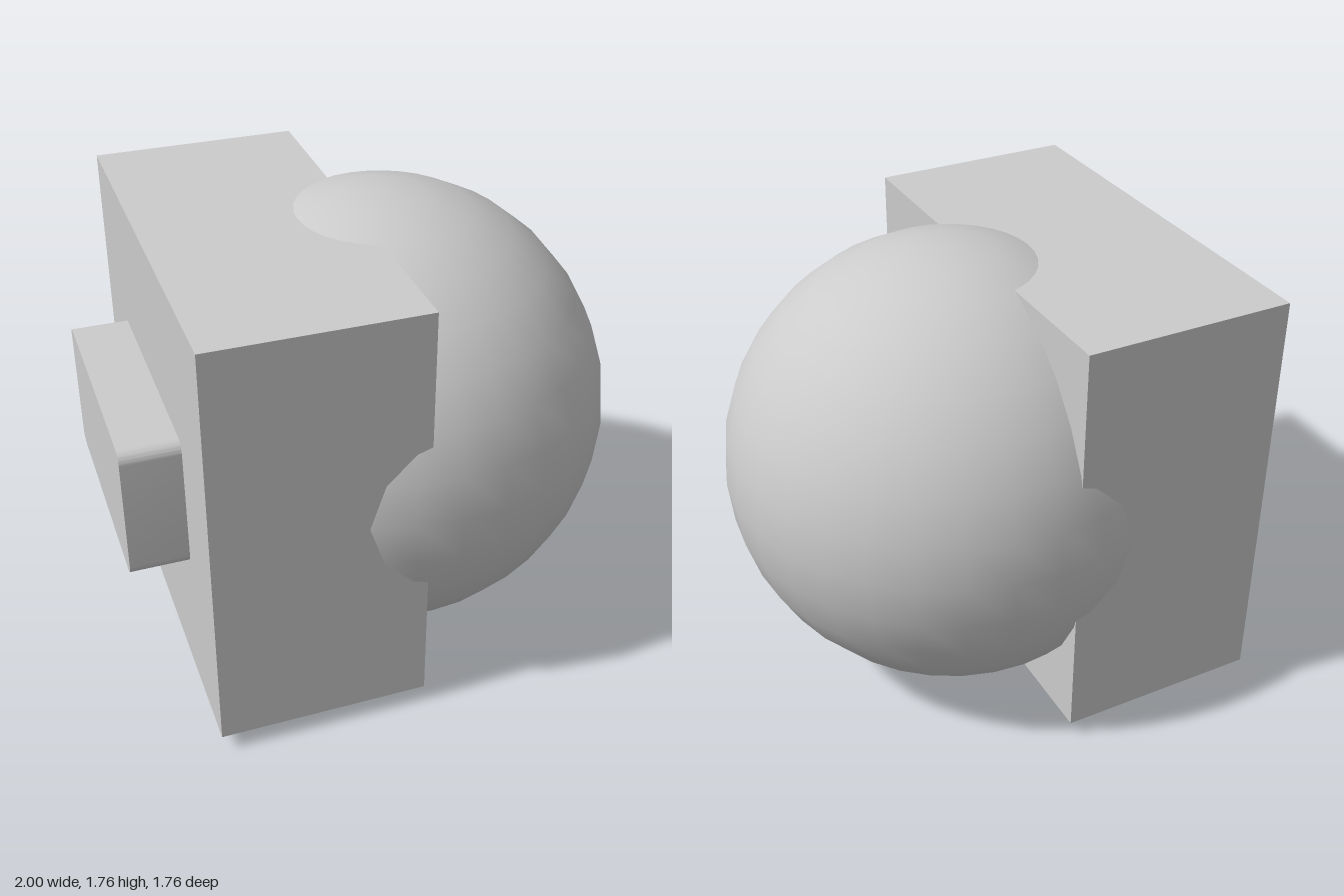
import * as THREE from 'three';
import { toCreasedNormals } from 'three/addons/utils/BufferGeometryUtils.js';

const material = new THREE.MeshStandardMaterial({ color: 0xcccccc });

function addPart(group, name, geometry, x, y, z) {
  const mesh = new THREE.Mesh(geometry, material);
  mesh.name = name;
  mesh.position.set(x, y, z);
  group.add(mesh);
  return mesh;
}

// Rectangle with rounded corners, centred on the origin
function roundedRectangle(width, height, r) {
  const x = width / 2 - r, y = height / 2 - r;
  const shape = new THREE.Shape();
  shape.absarc(x, y, r, 0, Math.PI / 2);
  shape.absarc(-x, y, r, Math.PI / 2, Math.PI);
  shape.absarc(-x, -y, r, Math.PI, Math.PI * 1.5);
  shape.absarc(x, -y, r, Math.PI * 1.5, Math.PI * 2);
  shape.closePath();
  return shape;
}

export function createModel() {
  const model = new THREE.Group();
  model.name = 'ballAndBlock';

  // Large ball, sunk into the block
  addPart(model, 'ball', new THREE.SphereGeometry(0.88, 32, 16), 0.12, 0.883, 0);

  // Square block
  addPart(model, 'block', new THREE.BoxGeometry(0.795, 1.63, 1.63), -0.3825, 0.885, 0);

  // Rounded tab on the block's outer side, extruded along x
  const tab = new THREE.ExtrudeGeometry(roundedRectangle(0.95, 0.53, 0.045), {
    depth: 0.24, bevelEnabled: false, curveSegments: 6,
  });
  tab.rotateY(-Math.PI / 2);
  addPart(model, 'tab', toCreasedNormals(tab, 0.6), -0.76, 0.885, 0);

  return model;
}
